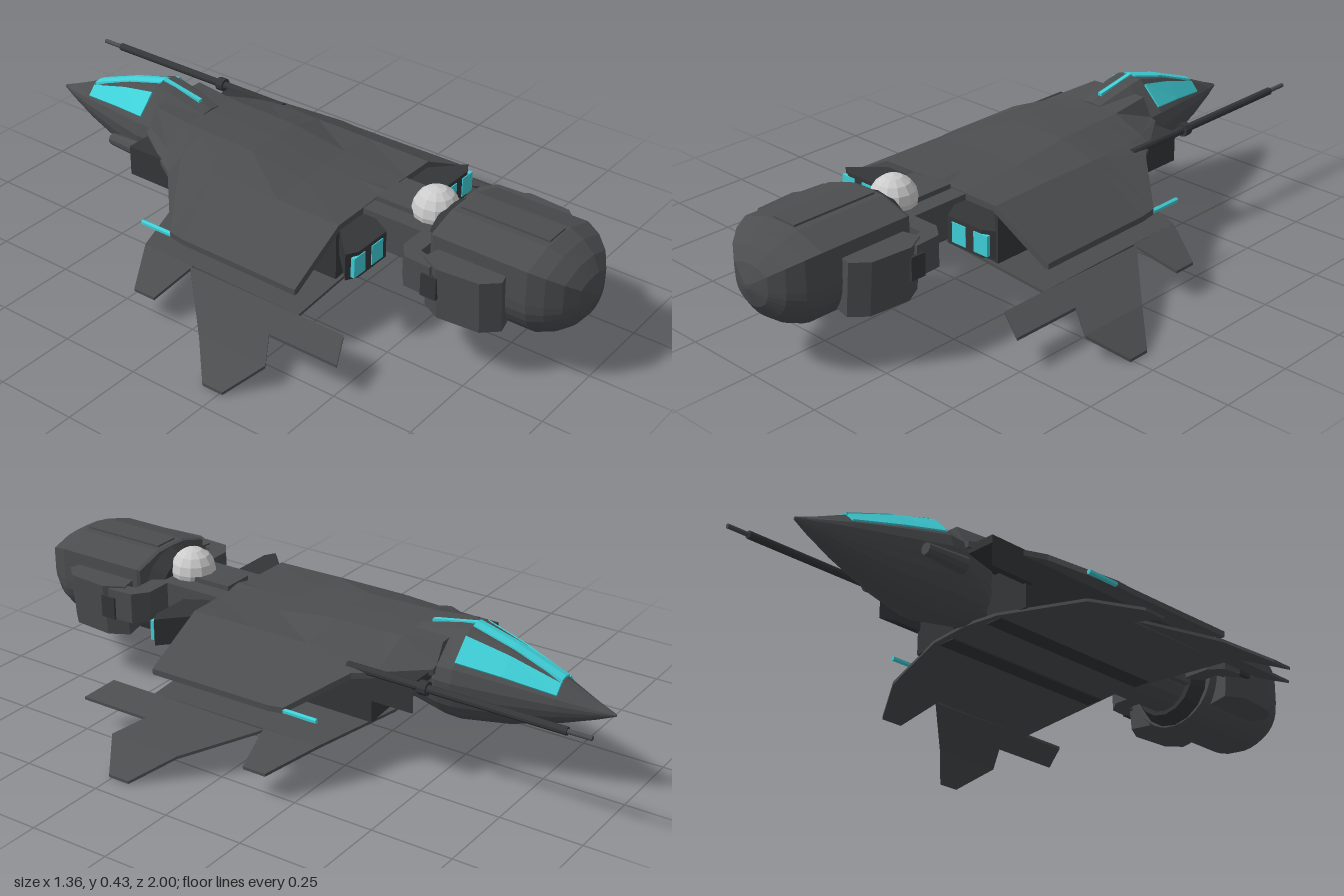
import * as THREE from 'three';

const mat = (color) => new THREE.MeshStandardMaterial({ color, flatShading: true });

export function createModel() {
  const model = new THREE.Group();
  const hullMat = mat(0x4b4d4f), darkMat = mat(0x343638), glowMat = mat(0x3fd0d8), domeMat = mat(0xcccccc);

  const add = (name, geo, material = hullMat, x = 0, y = 0, z = 0) => {
    const m = new THREE.Mesh(geo, material);
    m.name = name;
    m.position.set(x, y, z);
    model.add(m);
    return m;
  };
  const box = (name, w, h, d, x, y, z, material) => add(name, new THREE.BoxGeometry(w, h, d), material, x, y, z);
  const rod = (name, r0, r1, z0, z1, x, y, material, sides = 10) =>
    add(name, new THREE.CylinderGeometry(r1, r0, z1 - z0, sides).rotateX(Math.PI / 2), material, x, y, (z0 + z1) / 2);

  // Skin closed rings of [x, y], counterclockwise seen from +z, ordered by rising z
  const loft = (sections) => {
    const pos = [], idx = [], n = sections[0].ring.length, last = (sections.length - 1) * n;
    for (const { z, ring } of sections) for (const [x, y] of ring) pos.push(x, y, z);
    for (let i = 0; i < last; i += n) for (let j = 0; j < n; j++) {
      const k = (j + 1) % n;
      idx.push(i + j, i + k, i + n + k, i + j, i + n + k, i + n + j);
    }
    const cap = (s) => THREE.ShapeUtils.triangulateShape(s.ring.map(([x, y]) => new THREE.Vector2(x, y)), []);
    for (const [a, b, c] of cap(sections[0])) idx.push(a, c, b);
    for (const [a, b, c] of cap(sections[sections.length - 1])) idx.push(last + a, last + b, last + c);
    const g = new THREE.BufferGeometry();
    g.setAttribute('position', new THREE.Float32BufferAttribute(pos, 3));
    g.setIndex(idx);
    const flat = g.toNonIndexed();
    flat.computeVertexNormals();
    return flat;
  };
  // Complete a half profile that runs from bottom centre to top centre on +x
  const mirror = (half) => [...half, ...half.slice(1, -1).reverse().map(([x, y]) => [-x, y])];

  // Plan outline of [x, z] raised by a height; an optional rule bends it along x
  const plan = (pts, side, y, h, rise = () => 0) => {
    const shape = new THREE.Shape(pts.map(([x, z]) => new THREE.Vector2(x * side, -z)));
    const g = new THREE.ExtrudeGeometry(shape, { depth: h, bevelEnabled: false }).rotateX(-Math.PI / 2);
    const p = g.attributes.position;
    for (let i = 0; i < p.count; i++) p.setY(i, p.getY(i) + y + rise(Math.abs(p.getX(i))));
    g.computeVertexNormals();
    return g;
  };

  // Nose with canopy: z, half width, bottom, side and top heights
  const nose = [
    [-0.955, 0.004, 0.262, 0.266, 0.270], [-0.90, 0.026, 0.238, 0.268, 0.292], [-0.80, 0.062, 0.20, 0.275, 0.335],
    [-0.65, 0.106, 0.155, 0.285, 0.390], [-0.52, 0.143, 0.135, 0.295, 0.425], [-0.47, 0.143, 0.137, 0.295, 0.418],
    [-0.34, 0.11, 0.16, 0.29, 0.385],
  ];
  add('nose', loft(nose.map(([z, w, yb, ys, yt]) => {
    const half = [];
    for (let i = 0; i <= 6; i++) {
      const a = (i / 6) * Math.PI / 2;
      half.push([w * Math.sin(a), ys - (ys - yb) * Math.cos(a)]);
    }
    half.push([w * 0.92, ys + (yt - ys) * 0.3], [w * 0.3, yt - 0.004], [0, yt]);
    return { z, ring: mirror(half) };
  })));

  // Canopy windows laid on the nose facets
  const glass = nose.slice(2, 5);
  for (const side of [-1, 1]) {
    add('sideWindow', loft(glass.map(([z, w, , ys, yt]) => {
      const at = (t, o) => [w * (0.92 - 0.62 * t) + o * 0.6, ys + (yt - ys) * (0.3 + 0.7 * t) + o];
      const ring = [at(0.15, -0.01), at(0.15, 0.004), at(0.8, 0.004), at(0.8, -0.01)];
      return { z, ring: side > 0 ? ring : ring.map(([x, y]) => [-x, y]).reverse() };
    })), glowMat);
  }
  add('centreWindow', loft(glass.map(([z, , , , yt]) => ({
    z, ring: mirror([[0, yt - 0.01], [0.024, yt - 0.012], [0.022, yt + 0.002], [0, yt + 0.006]]),
  }))), glowMat);
  add('canopyRidgeLight', loft([[-0.52, 0.43], [-0.38, 0.404]].map(([z, y]) => ({
    z, ring: mirror([[0, y - 0.02], [0.007, y - 0.02], [0.007, y], [0, y]]),
  }))), glowMat);

  // Bent roof: z, centre height, shoulder x and y, outer edge x and y
  add('roofShell', loft([
    [-0.47, 0.395, 0.13, 0.335, 0.15, 0.31], [-0.34, 0.38, 0.20, 0.335, 0.235, 0.30],
    [-0.28, 0.378, 0.21, 0.335, 0.27, 0.295], [-0.15, 0.375, 0.22, 0.335, 0.412, 0.21],
    [-0.10, 0.373, 0.22, 0.335, 0.415, 0.205], [0.09, 0.347, 0.22, 0.334, 0.417, 0.205],
    [0.305, 0.335, 0.22, 0.33, 0.42, 0.205],
  ].map(([z, top, x1, y1, xo, yo]) => ({
    z, ring: mirror([[0, top - 0.03], [0.09, top - 0.03], [x1 - 0.01, y1 - 0.018], [xo - 0.015, yo],
      [xo, yo], [xo, yo + 0.018], [x1, y1], [0.1, top - 0.003], [0, top]]),
  }))));

  rod('fuselageTube', 0.09, 0.09, -0.40, 0.58, 0, 0.25, hullMat, 16);
  box('neck', 0.21, 0.11, 0.30, 0, 0.275, 0.44);
  box('neckSpine', 0.10, 0.02, 0.28, 0, 0.335, 0.45);
  add('sensorDome', new THREE.SphereGeometry(0.07, 12, 8), domeMat, 0, 0.345, 0.48);

  // Wing droop along x
  const bends = [[0, 0.160], [0.41, 0.128], [0.58, 0.066], [0.68, 0.003]];
  const droop = (x) => {
    const i = x <= 0.41 ? 0 : x <= 0.58 ? 1 : 2, [a, b] = [bends[i], bends[i + 1]];
    return a[1] + (b[1] - a[1]) * (x - a[0]) / (b[0] - a[0]);
  };
  const wings = {
    lowerPlate: [[0, -0.34], [0.13, -0.34], [0.40, -0.26], [0.41, 0.31], [0, 0.31]],
    frontWing: [[0.40, -0.26], [0.54, -0.18], [0.54, -0.105], [0.40, -0.075]],
    midWing: [[0.41, -0.08], [0.58, 0.095], [0.58, 0.33], [0.495, 0.275], [0.495, 0.505], [0.41, 0.465]],
    wingTip: [[0.58, 0.095], [0.68, 0.19], [0.68, 0.26], [0.58, 0.33]],
  };

  for (const s of [-1, 1]) {
    for (const [name, pts] of Object.entries(wings)) add(name, plan(pts, s, 0, 0.009, droop));
    rod('wingLight', 0.008, 0.008, -0.26, -0.15, s * 0.407, 0.217, glowMat, 6);

    // Intake nacelle, hollow mouth and splayed exhaust
    add('nacelle', plan([[0.07, -0.32], [0.225, -0.32], [0.225, 0.3], [0.07, 0.3]], s, 0.15, 0.17), darkMat);
    add('intakeLip', plan([[0.10, -0.46], [0.235, -0.46], [0.235, -0.3], [0.10, -0.3]], s, 0.295, 0.025), darkMat);
    add('intakeWall', plan([[0.215, -0.42], [0.235, -0.46], [0.235, -0.3], [0.215, -0.3]], s, 0.225, 0.08), darkMat);
    add('exhaust', plan([[0.09, 0.29], [0.20, 0.29], [0.305, 0.39], [0.27, 0.41], [0.14, 0.41], [0.10, 0.34]],
      s, 0.228, 0.084), darkMat);
    for (const x of [0.185, 0.268]) box('exhaustGlow', 0.052, 0.062, 0.012, s * x, 0.269, 0.407, glowMat);

    // Side pods and the arms that carry them
    add('podArm', plan([[0.08, 0.5], [0.19, 0.5], [0.235, 0.535], [0.24, 0.62], [0.2, 0.62], [0.185, 0.555], [0.08, 0.555]],
      s, 0.235, 0.095));
    const lean = plan([[0.13, 0.60], [0.21, 0.58], [0.243, 0.64], [0.232, 0.77], [0.19, 0.815], [0.13, 0.80]], s, 0.17, 0.165);
    const p = lean.attributes.position;
    for (let i = 0; i < p.count; i++) if (p.getY(i) < 0.2) p.setX(i, p.getX(i) - s * 0.015);
    lean.computeVertexNormals();
    add('sidePod', lean);
    box('podVent', 0.014, 0.07, 0.05, s * 0.238, 0.27, 0.62, darkMat);
  }

  // Rear pod: squared roof, round belly, domed end
  const podHalf = [];
  for (let i = 0; i <= 8; i++) {
    const a = (i / 8) * Math.PI / 2;
    podHalf.push([0.158 * Math.sin(a), -0.15 * Math.cos(a)]);
  }
  podHalf.push([0.158, 0.105], [0.06, 0.135], [0, 0.137]);
  const podRing = mirror(podHalf);
  add('rearPod', loft([[0.565, 0.97], [0.575, 1], [0.87, 1], [0.915, 0.88], [0.955, 0.68], [0.983, 0.42], [1, 0.05]]
    .map(([z, k]) => ({ z, ring: podRing.map(([x, y]) => [x * k, 0.268 + y * k]) }))));
  box('podSpine', 0.08, 0.012, 0.28, 0, 0.404, 0.725);
  rod('podCollar', 0.115, 0.14, 0.52, 0.57, 0, 0.262, darkMat, 16);

  // Offset gun and the small sensor on the other side
  rod('gunBarrel', 0.012, 0.012, -0.93, -0.25, 0.24, 0.318, darkMat);
  rod('gunMuzzle', 0.007, 0.007, -1, -0.93, 0.24, 0.318);
  rod('gunCollar', 0.021, 0.021, -0.51, -0.485, 0.24, 0.318, darkMat);
  rod('sensorTube', 0.018, 0.027, -0.62, -0.48, -0.143, 0.25, hullMat);

  return model;
}
